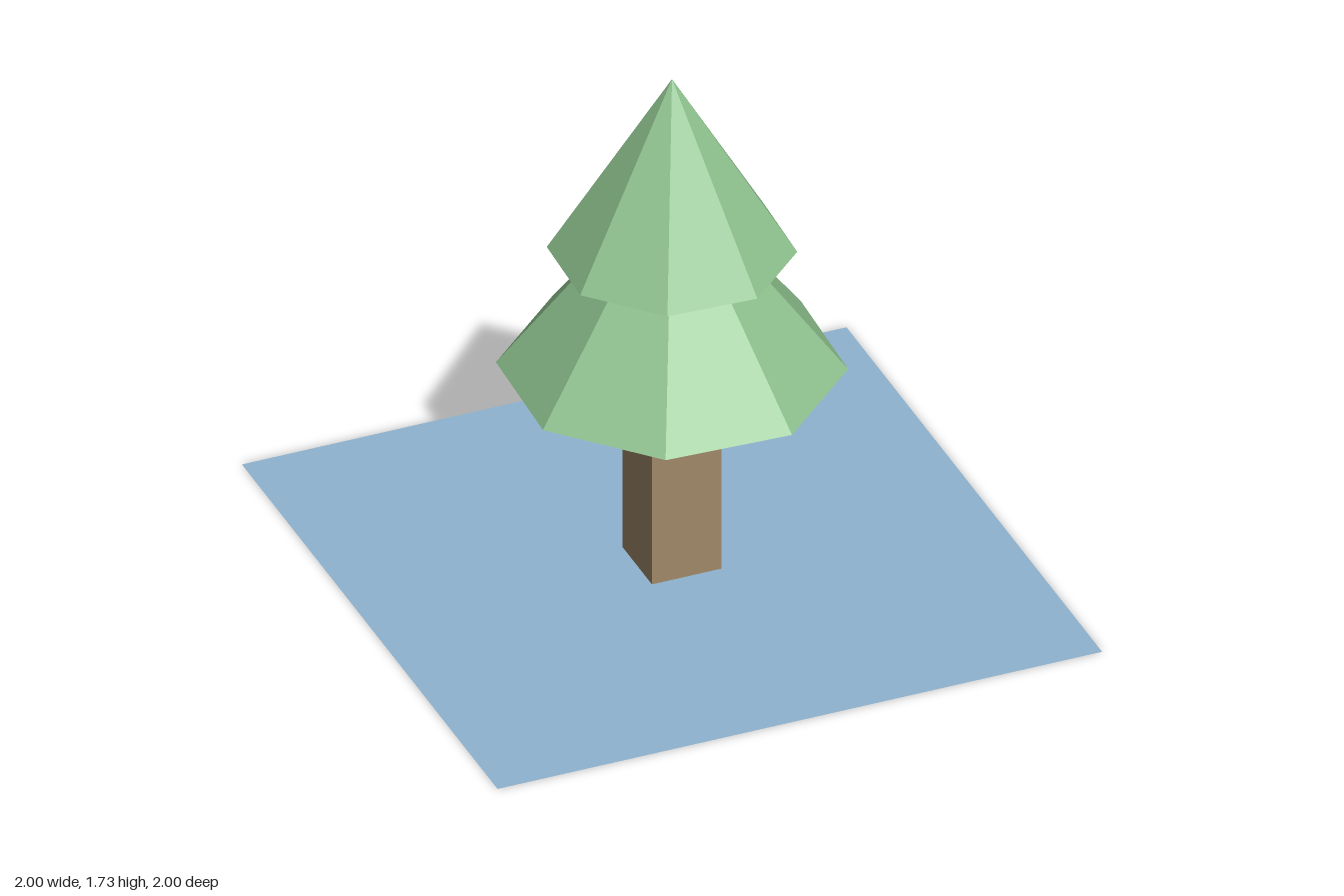
import * as THREE from 'three';

function flat(name, color, extra = {}) {
  const m = new THREE.MeshStandardMaterial({ color, flatShading: true, ...extra });
  m.name = name;
  return m;
}

export function createModel() {
  const group = new THREE.Group();
  group.name = 'pineTree';

  const leafGreen = flat('leafGreen', 0x8fc28f);
  const barkBrown = flat('barkBrown', 0xa08a68);
  const groundBlue = flat('groundBlue', 0x8fb3cf, { side: THREE.DoubleSide });

  const add = (name, geometry, material, y) => {
    const mesh = new THREE.Mesh(geometry, material);
    mesh.name = name;
    mesh.position.y = y;
    group.add(mesh);
    return mesh;
  };

  // Flat square of ground
  add('ground', new THREE.PlaneGeometry(2, 2).rotateX(-Math.PI / 2), groundBlue, 0);

  // Square trunk, its top just inside the lower foliage
  const trunkHeight = 0.7;
  add('trunk', new THREE.BoxGeometry(0.23, trunkHeight, 0.23), barkBrown, trunkHeight / 2 + 0.001);

  // Two eight-sided foliage cones, turned together: [name, radius, height, base y]
  const tiers = [
    ['lowerFoliage', 0.537, 0.69, 0.695],
    ['upperFoliage', 0.382, 0.615, 1.115],
  ];
  for (const [name, radius, height, base] of tiers) {
    const cone = add(name, new THREE.ConeGeometry(radius, height, 8), leafGreen, base + height / 2);
    cone.rotation.y = THREE.MathUtils.degToRad(20);
  }

  return group;
}
